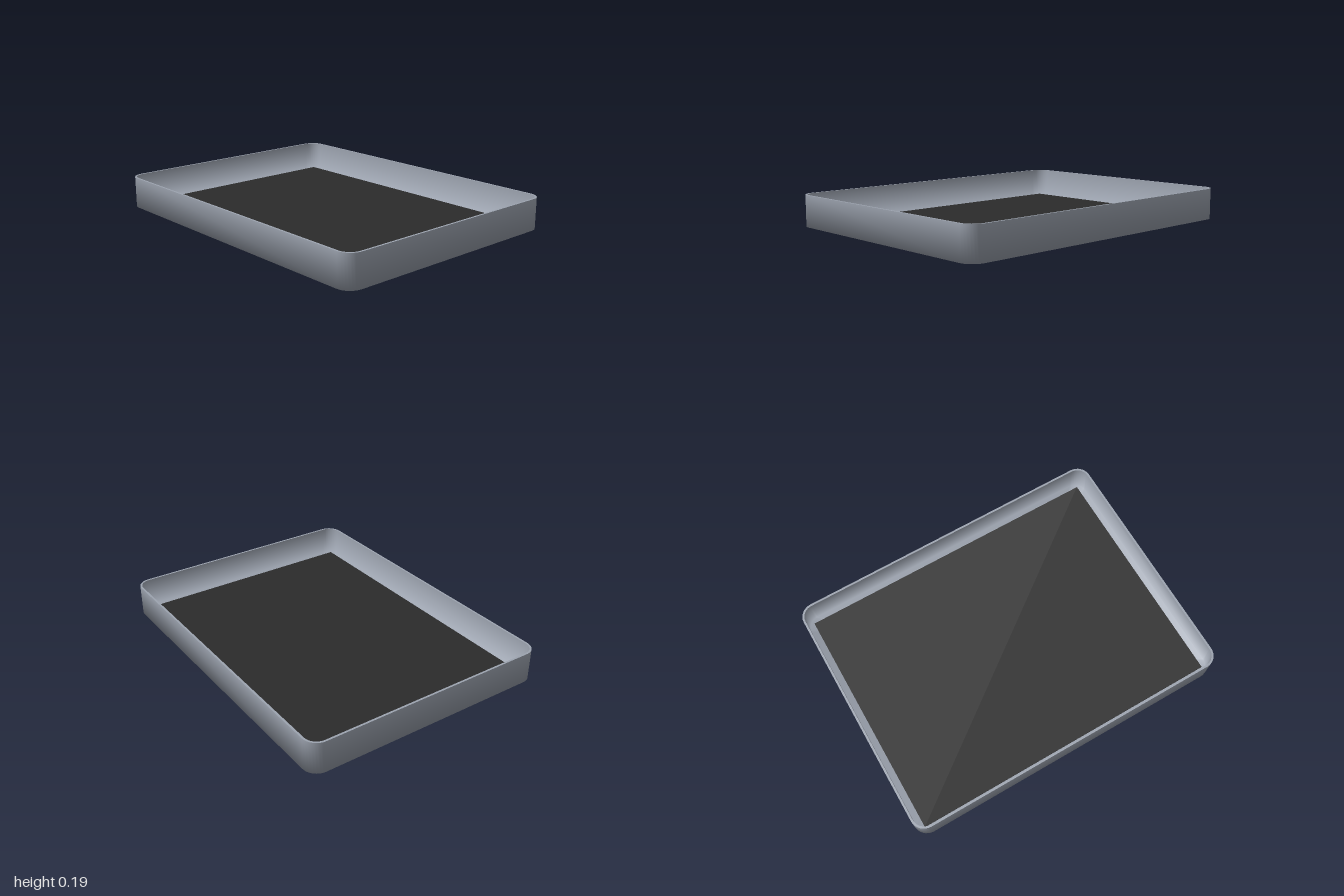
import * as THREE from 'three';
import { mergeVertices } from 'three/addons/utils/BufferGeometryUtils.js';

const HALF_X = 1, HALF_Z = 0.76, HEIGHT = 0.19, WALL = 0.012, FLOOR = 0.011;

// Rounded rectangle ring at height y, running from +x towards +z
function ring(hx, hz, r, y, steps = 8) {
  const pts = [];
  [[1, 1], [-1, 1], [-1, -1], [1, -1]].forEach(([sx, sz], corner) => {
    for (let i = 0; i <= steps; i++) {
      const a = (corner + i / steps) * Math.PI / 2;
      pts.push([sx * (hx - r) + r * Math.cos(a), y, sz * (hz - r) + r * Math.sin(a)]);
    }
  });
  return pts;
}

// Smooth skin through a list of rings
function skin(rings) {
  const n = rings[0].length, index = [];
  for (let k = 0; k < rings.length - 1; k++) {
    for (let i = 0; i < n; i++) {
      const a = k * n + i, b = k * n + (i + 1) % n;
      index.push(a, b, a + n, b, b + n, a + n);
    }
  }
  const geo = new THREE.BufferGeometry();
  geo.setAttribute('position', new THREE.Float32BufferAttribute(rings.flat(2), 3));
  geo.setIndex(index);
  const merged = mergeVertices(geo, 1e-5);
  merged.computeVertexNormals();
  return merged;
}

export function createModel() {
  const metal = new THREE.MeshStandardMaterial({ color: 0x9ca3af });
  metal.name = 'grey metal';
  const liner = new THREE.MeshStandardMaterial({ color: 0x2b2b2b });
  liner.name = 'dark liner';
  const rubber = new THREE.MeshStandardMaterial({ color: 0x151515 });
  rubber.name = 'black rubber';

  const tray = new THREE.Group();
  tray.name = 'tray';
  const add = (name, geometry, material, x = 0, y = 0, z = 0) => {
    const mesh = new THREE.Mesh(geometry, material);
    mesh.name = name;
    mesh.position.set(x, y, z);
    tray.add(mesh);
  };

  const outer = y => ring(HALF_X, HALF_Z, 0.085, y);
  const inner = y => ring(HALF_X - WALL, HALF_Z - WALL, 0.073, y);
  const centre = y => ring(0, 0, 0, y);

  // Shell: outside with underside, flat rim, inside with floor
  add('outerShell', skin([outer(HEIGHT), outer(0.001), centre(0.001)]), metal);
  add('rim', skin([inner(HEIGHT), outer(HEIGHT)]), metal);
  add('innerShell', skin([centre(FLOOR), inner(FLOOR), inner(HEIGHT)]), metal);

  // Square-cornered mat on the floor
  add('floorMat', new THREE.BoxGeometry(1.9, 0.008, 1.43), liner, 0, 0.013, 0);

  // Four pads let into the underside
  for (const sx of [-1, 1]) {
    for (const sz of [-1, 1]) {
      add('footPad', new THREE.BoxGeometry(0.08, 0.006, 0.08), rubber, sx * 0.73, 0.003, sz * 0.52);
    }
  }
  return tray;
}
